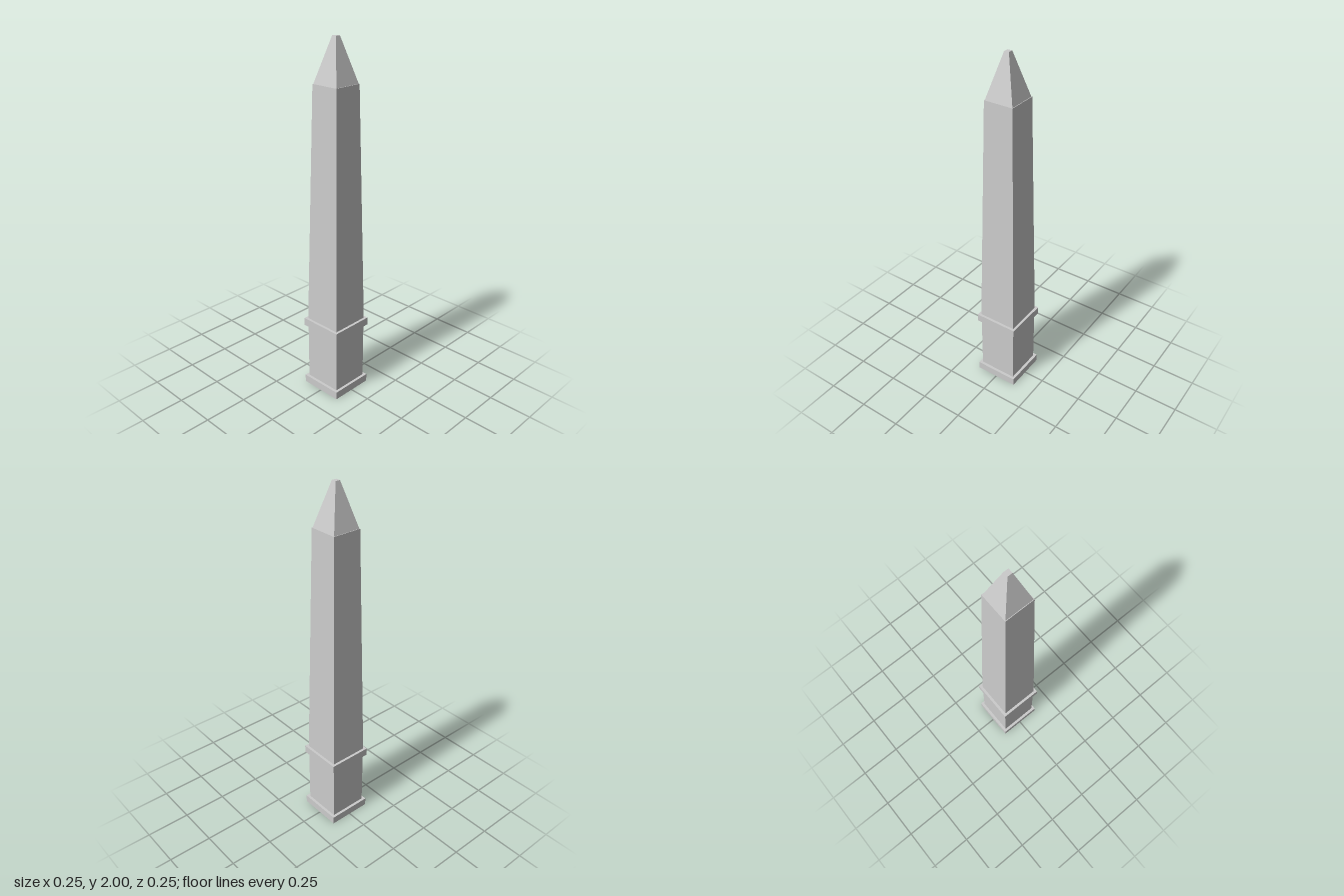
import * as THREE from 'three';

export function createModel() {
  const group = new THREE.Group();
  group.name = 'obelisk';
  const stone = new THREE.MeshStandardMaterial({ color: 0xcccccc, flatShading: true });

  // Square block between two heights, tapering from one half-width to another
  function block(name, y0, y1, bottom, top = bottom) {
    const geometry = new THREE.CylinderGeometry(top * Math.SQRT2, bottom * Math.SQRT2, y1 - y0, 4);
    geometry.rotateY(Math.PI / 4);
    const mesh = new THREE.Mesh(geometry, stone);
    mesh.name = name;
    mesh.position.y = (y0 + y1) / 2;
    group.add(mesh);
  }

  // Pedestal
  block('basePlinth', 0, 0.045, 0.127);
  block('pedestal', 0.045, 0.385, 0.111);
  block('pedestalCornice', 0.385, 0.43, 0.127);

  // Tapering shaft and blunt pyramid, set in slightly from the shaft edge
  block('shaft', 0.43, 1.765, 0.112, 0.083);
  block('pyramidCap', 1.765, 2, 0.08, 0.0135);

  return group;
}
